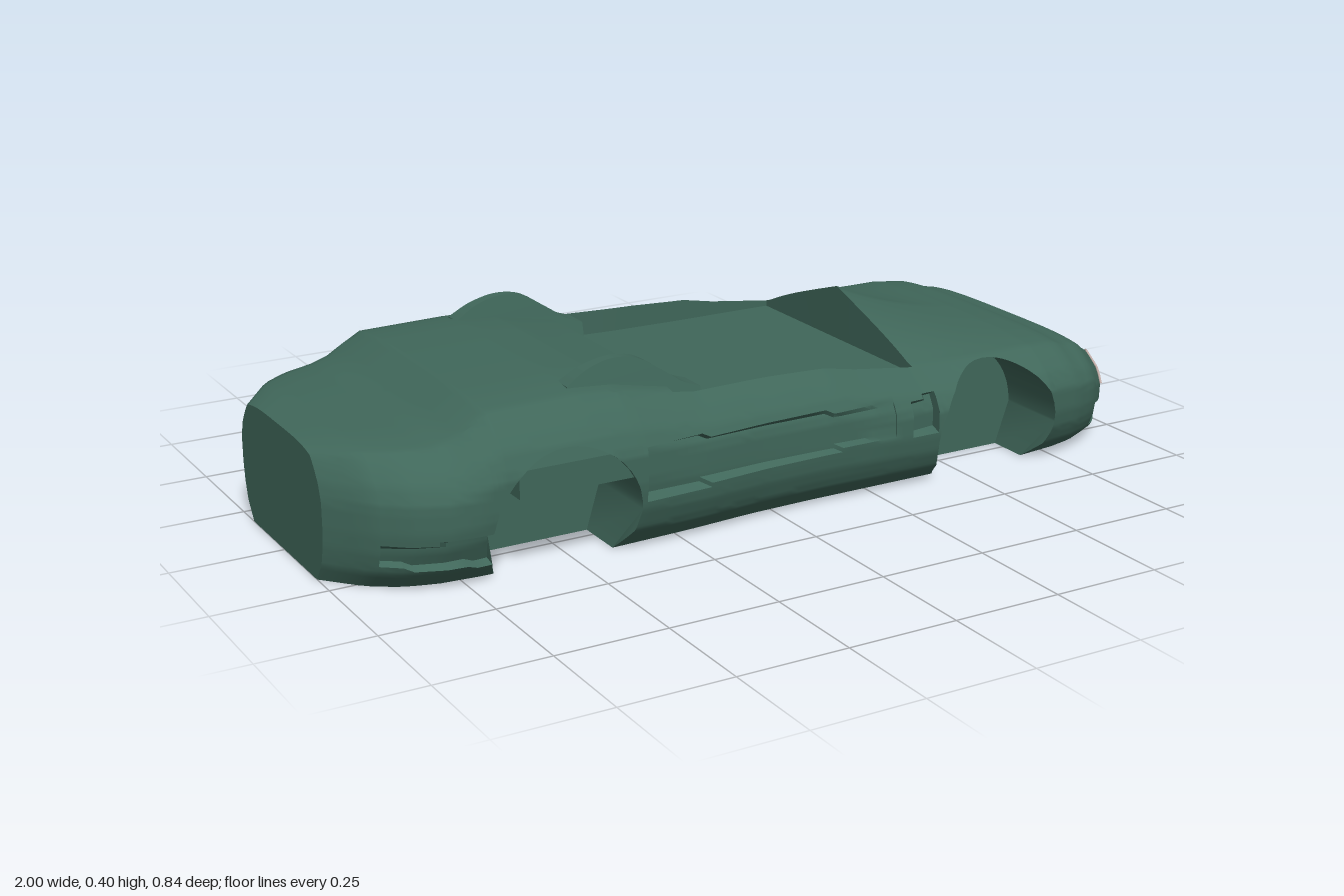
import * as THREE from 'three';
import { toCreasedNormals } from 'three/addons/utils/BufferGeometryUtils.js';

const paint = new THREE.MeshStandardMaterial({ color: 0x40675a });
paint.name = 'green paint';
paint.side = THREE.DoubleSide;
const lampTrim = new THREE.MeshStandardMaterial({ color: 0xc4b0aa });
lampTrim.name = 'pale lamp trim';

// Piecewise linear lookup in [key, value] pairs
function lookup(table, k) {
  if (k <= table[0][0]) return table[0][1];
  for (let i = 1; i < table.length; i++) {
    const [k0, v0] = table[i - 1], [k1, v1] = table[i];
    if (k <= k1) return v0 + (v1 - v0) * (k - k0) / (k1 - k0);
  }
  return table[table.length - 1][1];
}

// Roof line, half width and section shape (height share -> width share)
const HEIGHT = [[-1, .28], [-.93, .295], [-.8, .3], [-.76, .312], [-.68, .358], [-.47, .362], [-.38, .355],
  [-.3, .34], [-.2, .322], [0, .319], [.14, .313], [.22, .297], [.375, .276], [.55, .276], [.7, .276],
  [.78, .268], [.82, .252], [.87, .245], [.9, .222], [.94, .2], [.96, .163], [1, .155]];
const WIDTH = [[-1, .23], [-.93, .33], [-.87, .38], [-.8, .41], [-.73, .42], [-.36, .42], [-.2, .41], [-.05, .395],
  [.1, .39], [.4, .39], [.55, .4], [.7, .4], [.8, .38], [.86, .355], [.91, .32], [.95, .275], [.98, .22], [1, .14]];
const SECTION = [[0, .8], [.15, .93], [.3, .98], [.45, 1], [.65, 1], [.78, .95], [.88, .87], [.955, .79]];

const ARCHES = [{ cx: -.54, cy: .1, r: .17 }, { cx: .56, cy: .1, r: .16 }];
const COCKPIT = { x0: -.25, x1: .375, floor: .25 };
// Sunken side areas: start and end of x, low y, high y and depth
const RECESSES = [
  { x: [-.36, .28], lo: [.125, .145], hi: [.235, .215], depth: [.03, .004] },
  { x: [.325, .395], lo: [.135, .135], hi: [.205, .215], depth: [.015, .025] },
  { x: [-.92, -.7], lo: [.065, .045], hi: [.105, .115], depth: [.015, .03] },
  { x: [.885, .99], lo: [.045, .025], hi: [.095, .105], depth: [.03, .05] },
];

function sideZ(x, y) {
  let z = lookup(WIDTH, x) * lookup(SECTION, y / lookup(HEIGHT, x));
  for (const { x: [a, b], lo, hi, depth } of RECESSES) {
    const t = (x - a) / (b - a), mix = ([p, q]) => p + (q - p) * t;
    if (t >= 0 && t <= 1 && y > mix(lo) && y < mix(hi)) z -= mix(depth);
  }
  return z;
}

function topY(x, z) {
  const share = z / lookup(WIDTH, x) / .79;
  let y = lookup(HEIGHT, x) * (1 - .045 * share ** 4);
  // Ridge of the bonnet rising to a point in front of the cockpit
  if (x > COCKPIT.x1 && x < .8) y += .1 * ((.8 - x) / .425) ** 2 * Math.max(0, 1 - z / .3);
  return y;
}

// One half cross-section: top centre, shoulder, side, wheel well, underside
function sectionAt(x) {
  const pts = [], w = lookup(WIDTH, x), zc = Math.min(.33, .79 * w);
  const open = x > COCKPIT.x0 && x < COCKPIT.x1;
  for (let k = 0; k <= 16; k++) {
    const z = zc * k / 16;
    pts.push([z, open ? COCKPIT.floor : topY(x, z)]);
  }
  pts.push([zc, topY(x, zc)]);
  let bottom = 0;
  for (const { cx, cy, r } of ARCHES) {
    const d = Math.abs(x - cx);
    if (d < r) bottom = cy + Math.sqrt(r * r - d * d);
  }
  const yEdge = lookup(HEIGHT, x) * .955;
  for (let k = 35; k >= 0; k--) {
    const y = Math.max(bottom, Math.min(k / 100, yEdge));
    pts.push([sideZ(x, y), y]);
  }
  const inner = Math.min(.22, .6 * w);
  pts.push([inner, bottom], [inner, 0], [0, 0]);
  return pts.map(([z, y]) => {
    // Lower ends of the arches follow the wheel circle
    let px = x;
    for (const { cx, cy, r } of ARCHES) {
      const d = Math.abs(x - cx);
      if (d >= r && d < r + .12 && y < cy)
        px -= Math.sign(x - cx) * (r - Math.sqrt(r * r - (cy - y) ** 2)) * (1 - (d - r) / .12);
    }
    return new THREE.Vector3(px, y, z);
  });
}

function bodyGeometry() {
  // Stations along the car, doubled where there is a sharp step
  const stations = [];
  for (let i = -50; i <= 50; i++) stations.push(i / 50);
  const steps = [COCKPIT.x0, COCKPIT.x1];
  for (const { cx, r } of ARCHES) {
    steps.push(cx - r, cx + r);
    for (let k = 1; k < 20; k++) stations.push(cx - r * Math.cos(k * Math.PI / 20));
  }
  for (const { x } of RECESSES) steps.push(...x);
  for (const s of steps) stations.push(s - 1e-4, s + 1e-4);
  stations.sort((a, b) => a - b);
  const xs = stations.filter((x, i) => i === 0 || x - stations[i - 1] > 1e-5);
  const cols = xs.map(sectionAt);

  const positions = [], tri = new THREE.Triangle();
  const face = (side, a, b, c) => {
    tri.set(a, b, c);
    if (tri.getArea() < 1e-9) return;
    for (const p of side > 0 ? [a, b, c] : [a, c, b]) positions.push(p.x, p.y, p.z * side);
  };
  const rows = cols[0].length;
  for (const side of [1, -1]) {
    for (let i = 0; i < cols.length - 1; i++) for (let j = 0; j < rows - 1; j++) {
      const a = cols[i][j], b = cols[i + 1][j], c = cols[i + 1][j + 1], d = cols[i][j + 1];
      face(side, a, d, c);
      face(side, a, c, b);
    }
    // Flat tail and nose ends
    for (const end of [0, cols.length - 1]) {
      const col = cols[end], mid = new THREE.Vector3(xs[end], .1, 0);
      for (let j = 0; j < rows - 1; j++) {
        if (end) face(side, mid, col[j], col[j + 1]);
        else face(side, mid, col[j + 1], col[j]);
      }
    }
  }
  const geo = new THREE.BufferGeometry();
  geo.setAttribute('position', new THREE.Float32BufferAttribute(positions, 3));
  return toCreasedNormals(geo, .6);
}

// Tapered headrest hump behind each seat
function fairingGeometry() {
  const shape = new THREE.Shape();
  shape.moveTo(-.48, .26);
  shape.lineTo(-.48, .355);
  shape.splineThru([[-.43, .383], [-.37, .397], [-.31, .388], [-.25, .352], [-.21, .325], [-.17, .31]]
    .map(([x, y]) => new THREE.Vector2(x, y)));
  shape.lineTo(-.17, .25);
  const geo = new THREE.ExtrudeGeometry(shape, { depth: 2, bevelEnabled: false, curveSegments: 24 });
  geo.translate(0, 0, -1);
  const p = geo.attributes.position;
  for (let i = 0; i < p.count; i++) {
    const half = .045 - .033 * (p.getY(i) - .26) / .137;
    p.setZ(i, p.getZ(i) * half);
  }
  return toCreasedNormals(geo, .6);
}

// Narrow kinked lamp line laid on the nose
function lampGeometry(side) {
  const points = [[.32, .138], [.3, .152], [.27, .162], [.23, .194], [.18, .156]].map(([z, y]) => {
    let x = 1;
    while (x > .8 && (topY(x, Math.min(z, .79 * lookup(WIDTH, x))) < y || sideZ(x, y) < z)) x -= .002;
    return new THREE.Vector3(x + .004, y, z * side);
  });
  const path = new THREE.CurvePath();
  for (let i = 1; i < points.length; i++) path.add(new THREE.LineCurve3(points[i - 1], points[i]));
  return new THREE.TubeGeometry(path, 32, .003, 6);
}

export function createModel() {
  const car = new THREE.Group();
  car.name = 'openCar';
  const add = (name, geo, mat, x = 0, y = 0, z = 0) => {
    const mesh = new THREE.Mesh(geo, mat);
    mesh.name = name;
    mesh.position.set(x, y, z);
    car.add(mesh);
    return mesh;
  };
  add('body', bodyGeometry(), paint);
  for (const side of [1, -1]) {
    const label = side > 0 ? 'Front' : 'Back';
    add('headrestFairing' + label, fairingGeometry(), paint, 0, 0, .27 * side);
    add('sideDuct' + label, new THREE.BoxGeometry(.27, .06, .12), paint, -.515, .21, .352 * side);
    add('lampLine' + label, lampGeometry(side), lampTrim);
  }
  return car;
}
